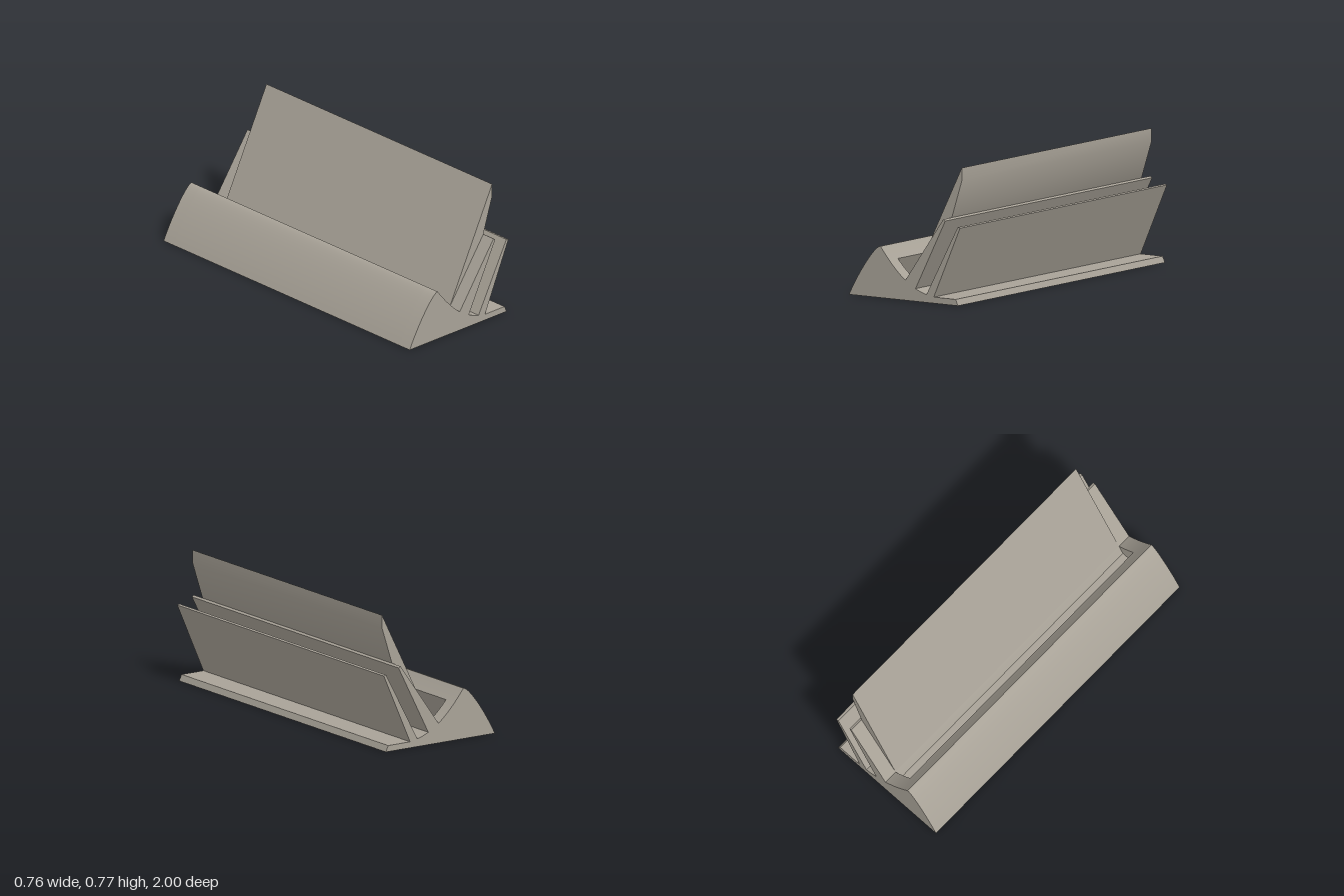
import * as THREE from 'three';
import { toCreasedNormals } from 'three/addons/utils/BufferGeometryUtils.js';

const HALF = 1;        // half length of the stand
const SLOT = 0.917;    // half length of the slot and back plate

// Cross-section in x/y; the slotted version has a leaning groove behind the fins
function profile(slotted) {
  const s = new THREE.Shape();
  s.moveTo(-0.381, 0);
  s.lineTo(0.366, 0);
  s.lineTo(0.35, 0.035);
  s.lineTo(0.2, 0.035);
  // front fin
  s.lineTo(0.38, 0.44);
  s.lineTo(0.364, 0.444);
  s.lineTo(0.15, 0.045);
  s.quadraticCurveTo(0.11, 0.055, 0.075, 0.072);
  // middle fin
  s.lineTo(0.279, 0.472);
  s.lineTo(0.265, 0.48);
  s.lineTo(0.005, 0.113);
  if (slotted) {
    // groove floor and overhanging wall
    s.lineTo(-0.025, 0.053);
    s.lineTo(-0.187, 0.053);
    s.lineTo(-0.105, 0.217);
    s.quadraticCurveTo(-0.135, 0.251, -0.165, 0.291);
  } else {
    s.quadraticCurveTo(-0.08, 0.178, -0.165, 0.291);
  }
  // rounded back hump
  s.bezierCurveTo(-0.2, 0.295, -0.315, 0.135, -0.381, 0);
  return s;
}

function extrude(shape, z0, z1) {
  const g = new THREE.ExtrudeGeometry(shape, { depth: z1 - z0, bevelEnabled: false, curveSegments: 16 });
  g.translate(0, 0, z0);
  return toCreasedNormals(g, 0.35);
}

export function createModel() {
  const model = new THREE.Group();
  model.name = 'cardStand';
  const grey = new THREE.MeshStandardMaterial({ color: 0xa8a297 });
  grey.name = 'warmGrey';

  const add = (name, shape, z0, z1) => {
    const mesh = new THREE.Mesh(extrude(shape, z0, z1), grey);
    mesh.name = name;
    model.add(mesh);
  };

  // Body: solid ends and a slotted middle
  add('slottedBody', profile(true), -SLOT, SLOT);
  add('frontEnd', profile(false), SLOT, HALF);
  add('backEnd', profile(false), -HALF, -SLOT);

  // Tall leaning plate resting on the middle fin
  const plate = new THREE.Shape([
    [0.005, 0.113], [0.265, 0.48], [0.333, 0.692], [0.333, 0.767],
  ].map(([x, y]) => new THREE.Vector2(x, y)));
  add('backPlate', plate, -SLOT, SLOT);

  return model;
}
